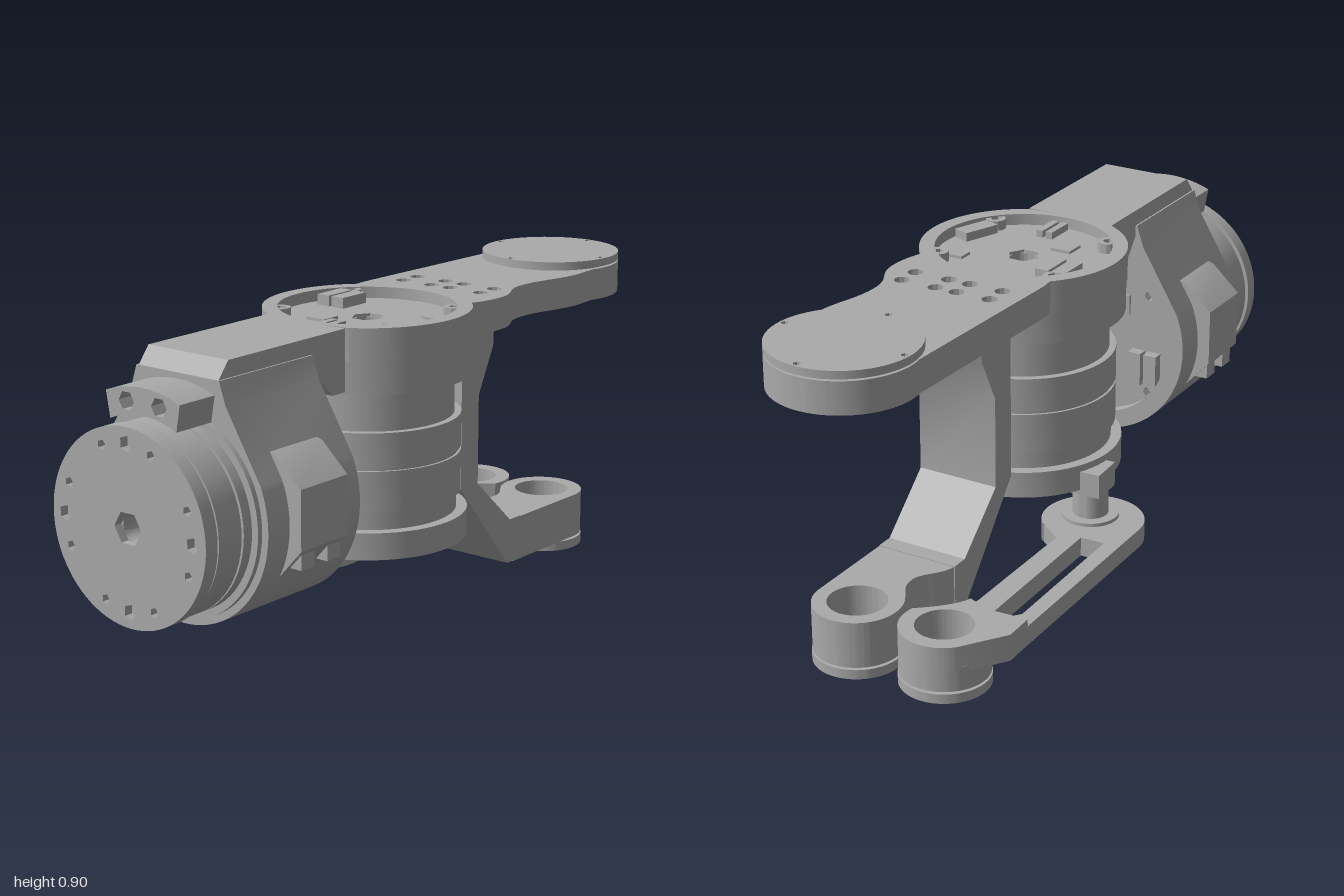
import * as THREE from 'three';
import { toCreasedNormals } from 'three/addons/utils/BufferGeometryUtils.js';

const metal = new THREE.MeshStandardMaterial({ color: 0xaaaaaa });
metal.name = 'grey metal';

function add(parent, name, geo, x = 0, y = 0, z = 0) {
  const flat = geo.index ? geo.toNonIndexed() : geo;
  const mesh = new THREE.Mesh(toCreasedNormals(flat, 0.5), metal);
  mesh.name = name;
  mesh.position.set(x, y, z);
  parent.add(mesh);
  return mesh;
}

// Shape helpers
const poly = (pts) => new THREE.Shape(pts.map(([a, b]) => new THREE.Vector2(a, b)));
const circle = (r, x = 0, y = 0) => new THREE.Shape().absarc(x, y, r, 0, Math.PI * 2, false);
const ngon = (n, r, x = 0, y = 0) => poly(Array.from({ length: n }, (_, i) => {
  const a = i / n * Math.PI * 2;
  return [x + r * Math.cos(a), y + r * Math.sin(a)];
}));

// Extrusions: plan outline (x, z) in y, front outline (x, y) in z, side outline (z, y) in x
const extrude = (shape, depth) =>
  new THREE.ExtrudeGeometry(shape, { depth, bevelEnabled: false, curveSegments: 40 });
const extrudeY = (shape, y0, y1) => extrude(shape, y1 - y0).rotateX(Math.PI / 2).translate(0, y1, 0);
const extrudeZ = (shape, z0, z1) => extrude(shape, z1 - z0).translate(0, 0, z0);
const extrudeX = (pts, width) => extrude(poly(pts), width).rotateY(-Math.PI / 2).translate(width / 2, 0, 0);
const lathe = (pts) => new THREE.LatheGeometry(pts.map(([r, y]) => new THREE.Vector2(r, y)), 64);
const withHoles = (shape, ...holes) => { shape.holes.push(...holes); return shape; };

// Recessed circuit board with connectors, facing +y
function encoderBoard() {
  const g = new THREE.Group();
  g.name = 'encoderBoard';
  add(g, 'board', extrudeY(withHoles(circle(0.243), ngon(6, 0.045)), -0.02, 0));
  for (const sx of [-1, 1]) for (const sz of [-1, 1]) {
    add(g, 'screwBoss', extrudeY(withHoles(circle(0.028), ngon(5, 0.015)), 0, 0.028), sx * 0.18, 0, sz * 0.15);
  }
  for (const [x, z, w, d, h, turn] of [
    [-0.185, -0.085, 0.04, 0.1, 0.03, 0], [-0.135, -0.085, 0.04, 0.1, 0.03, 0],
    [0.175, -0.09, 0.09, 0.045, 0.008, 0], [-0.075, 0.1, 0.06, 0.06, 0.008, 0],
    [0.005, 0.19, 0.02, 0.09, 0.02, 0], [0.035, 0.19, 0.02, 0.09, 0.02, 0],
    [0.195, 0.07, 0.05, 0.11, 0.025, -0.35]]) {
    add(g, 'connector', new THREE.BoxGeometry(w, h, d), x, h / 2, z).rotation.y = turn;
  }
  return g;
}

// Upper arm plate with the motor ring and the far end eye
function buildArm(body) {
  const s = new THREE.Shape();
  s.moveTo(0.135, 0.28);
  s.absarc(0, 0, 0.285, 1.075, -0.785, true);
  s.quadraticCurveTo(0.225, -0.26, 0.22, -0.32);
  s.bezierCurveTo(0.215, -0.39, 0.17, -0.4, 0.17, -0.48);
  s.bezierCurveTo(0.17, -0.57, 0.2, -0.6, 0.205, -0.7);
  s.absarc(0.008, -0.85, 0.2, 0.3, -Math.PI - 0.2, true);
  s.lineTo(-0.205, -0.24);
  s.absarc(0, 0, 0.285, -2.356, -4.217, true);
  s.lineTo(-0.135, 0.28);
  s.holes.push(circle(0.243), circle(0.15, 0.008, -0.85));
  for (const x of [-0.13, -0.03, 0.035, 0.14]) for (const z of [-0.39, -0.325]) s.holes.push(ngon(10, 0.022, x, z));
  add(body, 'armPlate', extrudeY(s, 0.78, 0.87));
  add(body, 'motorRing', extrudeY(withHoles(circle(0.282), circle(0.23)), 0.69, 0.78));

  // Round cap with four screw holes
  const cap = circle(0.2);
  for (let i = 0; i < 4; i++) {
    const a = i * Math.PI / 2 + 0.05;
    cap.holes.push(ngon(6, 0.01, 0.185 * Math.cos(a), 0.185 * Math.sin(a)));
  }
  add(body, 'endCap', extrudeY(cap, 0.875, 0.897), 0.008, 0, -0.85);
  add(body, 'endCapBase', extrudeY(circle(0.185), 0.86, 0.88), 0.008, 0, -0.85);

  // Bridge from the ring to the front motor housing
  add(body, 'frontBridge', extrudeX([[0.26, 0.7], [0.31, 0.7], [0.36, 0.75], [0.4, 0.8],
    [0.75, 0.8], [0.75, 0.82], [0.71, 0.87], [0.26, 0.87]], 0.27));
}

// Upright motor under the arm
function buildUprightMotor(body) {
  add(body, 'uprightMotor', lathe([[0.09, 0.235], [0.2, 0.235], [0.275, 0.235], [0.275, 0.31], [0.245, 0.31],
    [0.245, 0.36], [0.257, 0.36], [0.257, 0.475], [0.25, 0.475], [0.25, 0.485], [0.257, 0.485],
    [0.257, 0.58], [0.238, 0.58], [0.238, 0.83], [0.04, 0.83], [0.04, 0.3], [0.09, 0.3], [0.09, 0.235]]));
  for (let i = 0; i < 8; i++) {
    const a = (i + 0.5) * Math.PI / 4;
    add(body, 'flangeScrew', new THREE.CylinderGeometry(0.02, 0.02, 0.012, 6),
      0.215 * Math.cos(a), 0.232, 0.215 * Math.sin(a));
  }
  const board = encoderBoard();
  board.position.y = 0.838;
  body.add(board);
}

// Motor lying along z at the front
function buildFrontMotor(body) {
  const g = new THREE.Group();
  g.name = 'frontMotor';
  g.position.y = 0.465;
  body.add(g);

  const shell = new THREE.Shape();
  shell.moveTo(-0.14, 0.36);
  shell.lineTo(0.14, 0.36);
  shell.lineTo(0.16, 0.3);
  shell.lineTo(0.272, 0.115);
  shell.absarc(0, 0, 0.295, 0.4, -Math.PI - 0.4, true);
  shell.lineTo(-0.16, 0.3);
  shell.holes.push(circle(0.243));
  add(g, 'housing', extrudeZ(shell, 0.395, 0.75));

  add(g, 'motorCore', lathe([[0.04, 0.435], [0.245, 0.435], [0.245, 0.74], [0.275, 0.74], [0.275, 0.765],
    [0.255, 0.765], [0.255, 0.795], [0.247, 0.795], [0.247, 0.803], [0.255, 0.803], [0.255, 0.885],
    [0.247, 0.885], [0.247, 0.912], [0.04, 0.912], [0.04, 0.435]]).rotateX(Math.PI / 2));

  // Output plate: twelve bolt holes around a hexagonal bore
  const plate = withHoles(circle(0.26), ngon(6, 0.046));
  for (let q = 0; q < 4; q++) for (const [deg, r] of [[0, 0.022], [22.5, 0.014], [67.5, 0.014]]) {
    const a = (q * 90 + deg) * Math.PI / 180;
    plate.holes.push(ngon(5, r, 0.217 * Math.cos(a), 0.217 * Math.sin(a)));
  }
  add(g, 'outputPlate', extrudeZ(plate, 0.895, 0.937));

  // Curved terminal tab above the plate
  const tab = new THREE.Shape();
  tab.absarc(0, 0, 0.345, Math.PI / 2 - 0.37, Math.PI / 2 + 0.37, false);
  tab.absarc(0, 0, 0.275, Math.PI / 2 + 0.42, Math.PI / 2 - 0.42, true);
  for (const x of [-0.055, 0.055]) tab.holes.push(ngon(6, 0.026, x, 0.304));
  add(g, 'terminalTab', extrudeZ(tab, 0.74, 0.875));

  // Side ears with two small lugs each
  for (const s of [-1, 1]) {
    const pts = [[0.2, 0.19], [0.25, 0.175], [0.332, 0.1], [0.332, -0.06], [0.25, -0.15], [0.2, -0.15]]
      .map(([x, y]) => [s * x, y]);
    add(g, 'sideEar', extrudeZ(poly(pts), 0.49, 0.67));
    for (const z of [0.53, 0.63]) {
      add(g, 'earLug', new THREE.BoxGeometry(0.06, 0.09, 0.05), s * 0.29, -0.07, z);
    }
  }
  const board = encoderBoard();
  board.rotation.x = -Math.PI / 2;
  board.position.z = 0.43;
  g.add(board);
}

// Bent bracket hanging behind the upright motor, ending in an eye
function buildBracket(body) {
  add(body, 'bracket', extrudeX([[-0.27, 0.79], [-0.42, 0.79], [-0.415, 0.7], [-0.35, 0.57], [-0.35, 0.31],
    [-0.51, 0.165], [-0.56, 0.165], [-0.56, 0.035], [-0.5, 0.035], [-0.27, 0.31]], 0.24));
  const foot = new THREE.Shape();
  foot.moveTo(0.12, -0.53);
  foot.lineTo(0.12, -0.84);
  foot.absarc(0, -0.84, 0.12, 0, -Math.PI, true);
  foot.bezierCurveTo(-0.12, -0.76, -0.06, -0.74, -0.06, -0.68);
  foot.bezierCurveTo(-0.06, -0.62, -0.12, -0.62, -0.12, -0.53);
  foot.holes.push(circle(0.08, 0, -0.84));
  add(body, 'bracketFoot', extrudeY(foot, 0.033, 0.163));
  add(body, 'footPad', extrudeY(circle(0.122), 0, 0.027), 0, 0, -0.84);
  add(body, 'footPadBase', extrudeY(circle(0.11), 0.02, 0.045), 0, 0, -0.84);
}

// Slotted link with its pivot pin
function buildLink(root) {
  const g = new THREE.Group();
  g.name = 'link';
  root.add(g);
  const ex = -0.152, ez = -0.79;
  const bar = poly([[-0.327, -0.68], [-0.14, -0.68], [-0.15, -0.6], [-0.17, -0.2], [-0.1, -0.14]]);
  bar.absarc(-0.208, -0.05, 0.143, -0.7, Math.PI, false);
  bar.holes.push(poly([[-0.285, -0.62], [-0.25, -0.66], [-0.215, -0.66], [-0.215, -0.62], [-0.23, -0.17], [-0.3, -0.17]]));
  add(g, 'linkBar', extrudeY(bar, 0.085, 0.14));

  // Thick eye at the far end
  const eye = new THREE.Shape();
  eye.moveTo(-0.327, -0.67);
  eye.lineTo(-0.325, -0.76);
  eye.absarc(ex, ez, 0.12, -2.35, 0.3, false);
  eye.quadraticCurveTo(-0.13, -0.69, -0.145, -0.64);
  eye.lineTo(-0.21, -0.67);
  eye.holes.push(circle(0.078, ex, ez));
  add(g, 'linkEye', extrudeY(eye, 0.085, 0.16));
  add(g, 'linkEyeLower', extrudeY(withHoles(circle(0.12), circle(0.078)), 0.033, 0.1), ex, 0, ez);
  add(g, 'linkPad', extrudeY(circle(0.122), 0, 0.027), ex, 0, ez);
  add(g, 'linkPadBase', extrudeY(circle(0.11), 0.02, 0.045), ex, 0, ez);

  // Pivot pin: shaft, collar, slotted head and the clamp on the motor flange
  const px = -0.19, pz = -0.03;
  add(g, 'pinShaft', new THREE.CylinderGeometry(0.05, 0.05, 0.17, 32), px, 0.15, pz);
  add(g, 'pinCollar', new THREE.CylinderGeometry(0.08, 0.08, 0.012, 32), px, 0.144, pz);
  add(g, 'pinHead', new THREE.CylinderGeometry(0.053, 0.053, 0.034, 24), px, 0.059, pz);
  add(g, 'pinClamp', new THREE.BoxGeometry(0.1, 0.07, 0.1), px, 0.255, pz);
}

export function createModel() {
  const root = new THREE.Group();
  root.name = 'robotLeg';
  const body = new THREE.Group();
  body.name = 'armAssembly';
  body.position.set(0.06, 0, 0.05);
  body.rotation.y = -0.055;
  root.add(body);
  buildArm(body);
  buildUprightMotor(body);
  buildFrontMotor(body);
  buildBracket(body);
  buildLink(root);
  return root;
}
